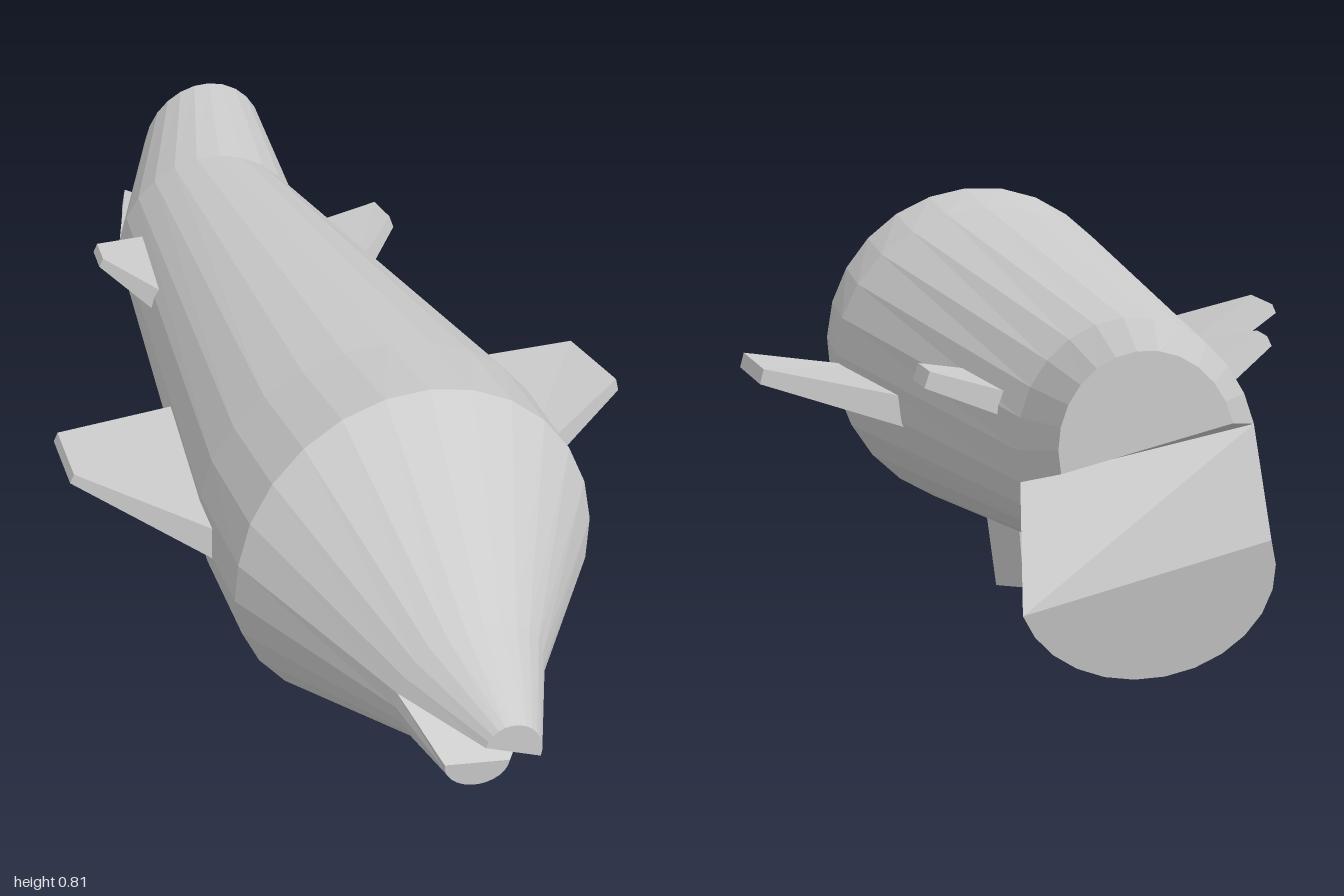
import * as THREE from 'three';

const material = new THREE.MeshStandardMaterial({
  color: 0xcccccc, flatShading: true, side: THREE.DoubleSide,
});
const SEG = 13; // facets around each half of the body

function addMesh(group, name, geometry) {
  geometry.computeVertexNormals();
  const mesh = new THREE.Mesh(geometry, material);
  mesh.name = name;
  group.add(mesh);
}

// Loft of half-ellipse sections, front to back. Each section holds the start
// and end of its flat chord and the apex of its arc. The first and last spans
// get a flat chord face, so the jaws and tail lobes are closed solids.
function halfLoft(sections) {
  const pos = [], index = [], row = SEG + 1, last = sections.length - 1;
  for (const [start, end, apex] of sections) {
    const s = new THREE.Vector3(...start), e = new THREE.Vector3(...end);
    const centre = s.clone().add(e).multiplyScalar(0.5);
    const a = s.sub(centre), b = new THREE.Vector3(...apex).sub(centre);
    for (let j = 0; j <= SEG; j++) {
      const t = Math.PI * j / SEG;
      const p = centre.clone().addScaledVector(a, Math.cos(t)).addScaledVector(b, Math.sin(t));
      pos.push(p.x, p.y, p.z);
    }
  }
  for (let i = 0; i < last; i++) {
    const count = i === 0 || i === last - 1 ? row : SEG;
    for (let j = 0; j < count; j++) {
      const k = (j + 1) % row;
      const a = i * row + j, b = i * row + k, c = a + row, d = b + row;
      index.push(a, c, b, b, c, d);
    }
  }
  for (let j = 1; j < SEG; j++) {
    const o = last * row;
    index.push(0, j, j + 1, o, o + j + 1, o + j);
  }
  const g = new THREE.BufferGeometry();
  g.setAttribute('position', new THREE.Float32BufferAttribute(pos, 3));
  g.setIndex(index);
  return g.toNonIndexed();
}

// Tapered plate: corners of the middle plane plus thickness at root and tip.
function fin(rootFront, rootBack, tipBack, tipFront, rootThick, tipThick) {
  const g = new THREE.BoxGeometry(1, 1, 1);
  const p = g.attributes.position;
  const v = (q) => new THREE.Vector3(...q);
  const normal = v(tipFront).sub(v(rootFront)).cross(v(rootBack).sub(v(rootFront))).normalize();
  for (let i = 0; i < p.count; i++) {
    const tip = p.getX(i) > 0, front = p.getZ(i) > 0;
    const corner = v(tip ? (front ? tipFront : tipBack) : (front ? rootFront : rootBack));
    corner.addScaledVector(normal, p.getY(i) * (tip ? tipThick : rootThick));
    p.setXYZ(i, corner.x, corner.y, corner.z);
  }
  return g;
}

export function createModel() {
  const fish = new THREE.Group();
  fish.name = 'fish';

  // Seam points shared by both halves: mouth corners, widest ring, belly, tail root
  const seam = [
    [[0.115, 0.46, 0.84], [-0.14, 0.51, 0.85]],
    [[0.332, 0.41, 0.52], [-0.315, 0.55, 0.52]],
    [[0.337, 0.415, 0.29], [-0.325, 0.53, 0.29]],
    [[0.12, 0.43, -0.6], [-0.275, 0.52, -0.63]],
  ];
  const upperApex = [[0.02, 0.615, 0.84], [0.077, 0.805, 0.47], [0.065, 0.785, 0.29], [-0.03, 0.7, -0.6]];
  const lowerApex = [[-0.035, 0.355, 0.84], [-0.063, 0.155, 0.51], [-0.06, 0.155, 0.29], [-0.115, 0.278, -0.6]];

  // Upper half: snout, back and upper tail lobe
  addMesh(fish, 'upperBody', halfLoft([
    [[0.05, 0.46, 1], [-0.045, 0.505, 1], [0.015, 0.537, 1]],
    ...seam.map(([r, l], i) => [r, l, upperApex[i]]),
    [[0.12, 0.525, -0.93], [-0.15, 0.59, -0.92], [0.02, 0.705, -0.925]],
  ]));

  // Lower half: jaw, belly and twisted lower tail lobe
  addMesh(fish, 'lowerBody', halfLoft([
    [[-0.09, 0.425, 0.945], [0.02, 0.41, 0.95], [-0.037, 0.365, 0.945]],
    ...seam.map(([r, l], i) => [l, r, lowerApex[i]]),
    [[-0.19, 0.425, -1], [0.17, 0.29, -0.885], [-0.065, 0.205, -0.95]],
  ]));

  // Side fins, slightly different on each side because the body is bent
  addMesh(fish, 'leftFrontFin', fin(
    [0.3, 0.435, 0.3], [0.22, 0.435, -0.07], [0.51, 0.505, 0.01], [0.54, 0.51, 0.165], 0.06, 0.03));
  addMesh(fish, 'rightFrontFin', fin(
    [-0.3, 0.475, 0.39], [-0.28, 0.475, -0.03], [-0.55, 0.587, 0.12], [-0.545, 0.587, 0.25], 0.06, 0.02));
  addMesh(fish, 'leftRearFin', fin(
    [0.16, 0.545, -0.3], [0.1, 0.535, -0.51], [0.26, 0.588, -0.49], [0.27, 0.59, -0.42], 0.045, 0.03));
  addMesh(fish, 'rightRearFin', fin(
    [-0.25, 0.57, -0.26], [-0.24, 0.57, -0.51], [-0.36, 0.625, -0.44], [-0.36, 0.625, -0.38], 0.05, 0.02));

  // Belly fins
  addMesh(fish, 'frontBellyFin', fin(
    [0, 0.19, 0.31], [0, 0.24, -0.1], [0.003, 0.09, -0.11], [0.003, 0, 0.2], 0.06, 0.035));
  addMesh(fish, 'rearBellyFin', fin(
    [-0.06, 0.24, -0.08], [-0.06, 0.29, -0.39], [-0.05, 0.16, -0.36], [-0.05, 0.105, -0.16], 0.05, 0.02));

  return fish;
}
